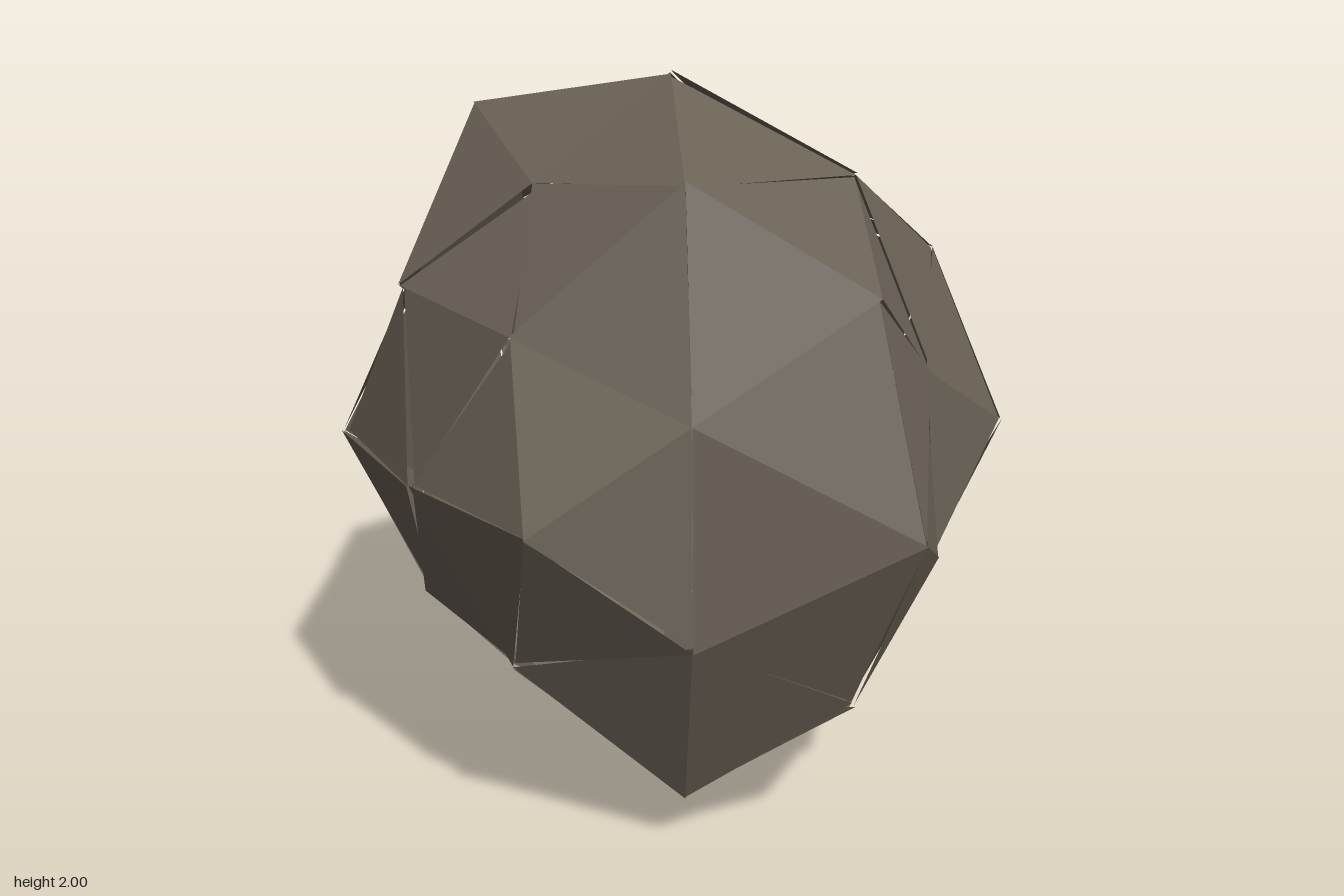
import * as THREE from 'three';

// Radii of the rock's 42 corners, grouped by direction (|x|,|y|,|z| in tenths).
// Within a group the signs of the non-zero axes run ++, +-, -+, --.
const RADII = {
  '0,10,0': [0.98, 1.005],
  '10,0,0': [0.89, 0.82],
  '0,0,10': [1.05, 1.06],
  '5,9,0': [0.77, 0.79, 0.84, 0.81],
  '0,5,9': [1.02, 1.0, 0.97, 1.06],
  '9,0,5': [0.95, 0.98, 0.9, 0.92],
  '3,8,5': [0.91, 0.95, 0.97, 0.96, 0.96, 1.06, 1.03, 1.04],
  '8,5,3': [0.91, 0.92, 0.94, 0.88, 0.82, 0.86, 0.86, 0.83],
  '5,3,8': [0.78, 0.89, 0.83, 0.89, 0.84, 0.92, 0.9, 0.92],
};

function radiusOf(v) {
  const tenths = v.toArray().map((c) => Math.round(c * 10));
  const index = tenths.reduce((i, c) => (c === 0 ? i : i * 2 + (c < 0 ? 1 : 0)), 0);
  return RADII[tenths.map(Math.abs).join(',')][index];
}

// Small seeded generator
function seeded(seed) {
  return () => {
    seed = (seed * 16807) % 2147483647;
    return seed / 2147483647;
  };
}

export function createModel() {
  const group = new THREE.Group();
  group.name = 'rock';

  // Subdivided icosahedron, each corner pushed in or out; the facets are
  // separate, so a slight variation per facet leaves fine cracks between them
  const geometry = new THREE.IcosahedronGeometry(1, 1);
  const pos = geometry.attributes.position;
  const random = seeded(17);
  const up = new THREE.Vector3(0, 1, 0);
  const v = new THREE.Vector3();
  for (let i = 0; i < pos.count; i++) {
    v.fromBufferAttribute(pos, i).normalize();
    const radius = radiusOf(v) + (random() - 0.5) * 0.025;
    // Turned about the upright axis, with corners drawn slightly towards x = 0
    v.applyAxisAngle(up, 0.485);
    v.x *= 0.95;
    v.setLength(radius);
    pos.setXYZ(i, v.x - 0.015, v.y + 1.015, v.z);
  }
  geometry.computeVertexNormals();

  // The cracks show the inside of the shell
  const material = new THREE.MeshStandardMaterial({
    color: 0x6b6256,
    flatShading: true,
    side: THREE.DoubleSide,
  });
  const boulder = new THREE.Mesh(geometry, material);
  boulder.name = 'boulder';
  group.add(boulder);
  return group;
}
